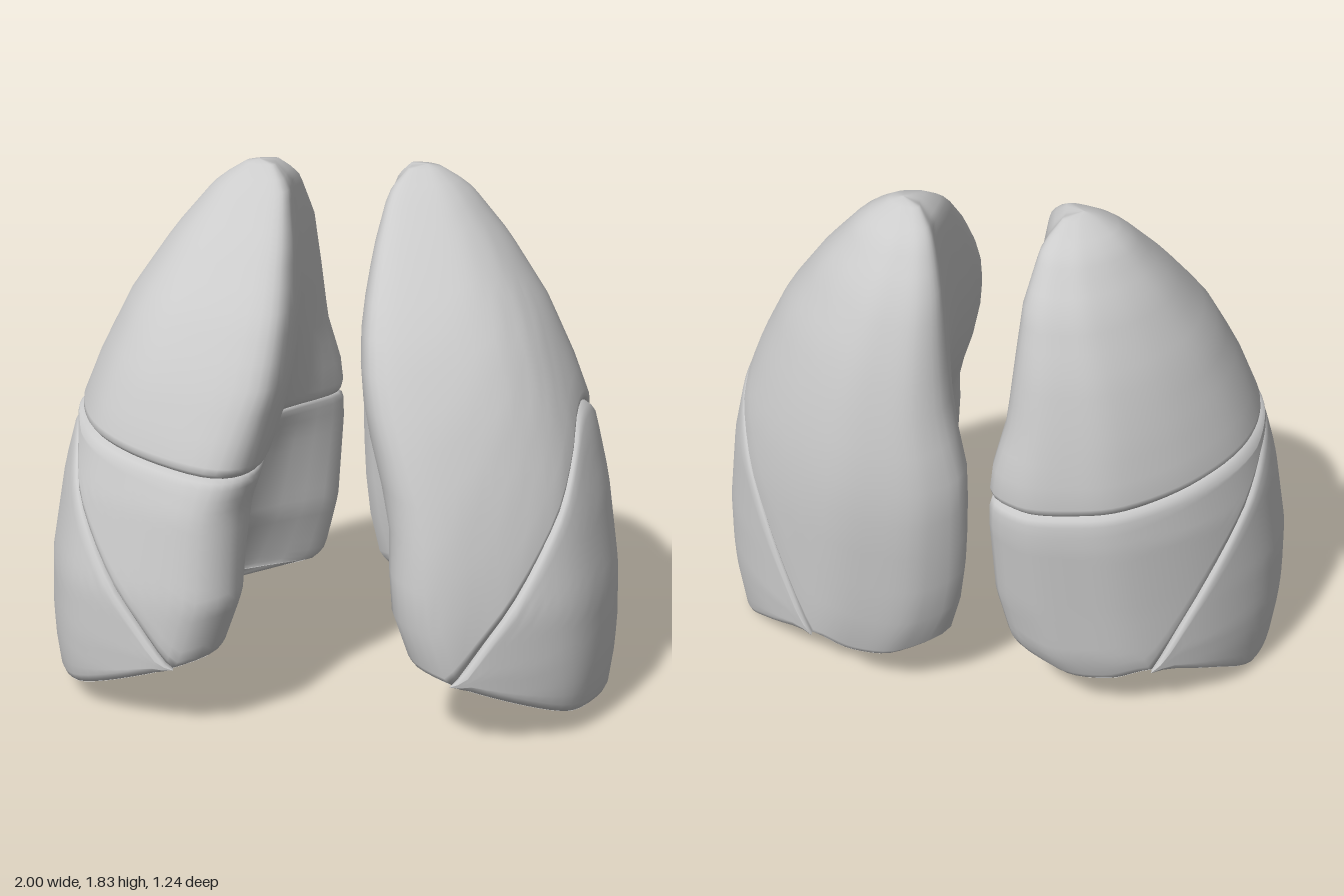
import * as THREE from 'three';

const TOP = 1.825, PTS = 14, SUB = 5, COLS = PTS * SUB;

// Height, then: back-medial x, hollow x, front-edge x, lateral x, back z, front z
const LEVELS = [
  [0.0, 0.26, 0.52, 0.42, 0.97, -0.48, 0.55],
  [0.2, 0.18, 0.49, 0.38, 0.995, -0.53, 0.59],
  [0.3, 0.11, 0.43, 0.32, 1.0, -0.56, 0.61],
  [0.5, 0.06, 0.33, 0.25, 0.995, -0.58, 0.62],
  [0.8, 0.04, 0.25, 0.24, 0.95, -0.61, 0.57],
  [1.0, 0.04, 0.17, 0.18, 0.90, -0.61, 0.51],
  [1.2, 0.09, 0.13, 0.13, 0.82, -0.58, 0.43],
  [1.4, 0.11, 0.12, 0.12, 0.72, -0.54, 0.31],
  [1.6, 0.13, 0.14, 0.14, 0.58, -0.47, 0.13],
  [1.75, 0.17, 0.17, 0.17, 0.45, -0.37, -0.03],
  [TOP, 0.22, 0.22, 0.22, 0.35, -0.27, -0.13],
];

// Around the lung from the inner back: height of the lower rim and of the slanting fissure
const BASE = [0.27, 0.19, 0.18, 0.22, 0.13, 0.01, 0.03, 0.06, 0.09, 0.17, 0.26, 0.30, 0.32, 0.30];
const FISSURE = [0.27, 0.19, 0.18, 0.22, 0.60, 0.92, 1.06, 1.05, 0.80, 0.49, 0.26, 0.30, 0.32, 0.30];
const around = new THREE.CatmullRomCurve3(
  BASE.map((b, i) => new THREE.Vector3(b, FISSURE[i], 0)), true, 'catmullrom');

function levelAt(y) {
  let i = 0;
  while (i < LEVELS.length - 2 && y > LEVELS[i + 1][0]) i++;
  const a = LEVELS[i], b = LEVELS[i + 1];
  const t = THREE.MathUtils.clamp((y - a[0]) / (b[0] - a[0]), 0, 1);
  return a.map((v, k) => v + (b[k] - v) * t);
}

// Point on the kidney-shaped cross-section, moved inwards by inset
function surface(col, y, inset) {
  const [, xm, xh, xf, xl, zb, zf] = levelAt(y);
  const w = xl - xm, d = zf - zb;
  const P = (x, k) => new THREE.Vector3(x, y, zb + k * d);
  const curve = new THREE.CatmullRomCurve3([
    P(xm, 0.12), P(xm + 0.12 * w, 0.01), P(xm + 0.32 * w, 0), P(xm + 0.52 * w, 0.03),
    P(xm + 0.76 * w, 0.15), P(xm + 0.94 * w, 0.32), P(xl, 0.5), P(xm + 0.96 * w, 0.68),
    P(xm + 0.84 * w, 0.84), P(xm + 0.61 * w, 0.95), P(xf + 0.14 * w, 1), P(xf, 0.89),
    P(xh, 0.65), P(xh + 0.03 * w, 0.38),
  ], true, 'catmullrom');
  const p = curve.getPoint((col % COLS) / COLS);
  const toCentre = new THREE.Vector3((xm + xl) / 2 + 0.05 * w, y, (zb + zf) / 2).sub(p);
  return p.addScaledVector(toCentre, Math.min(1, inset / toCentre.length()));
}

// Skin rows of points into a smooth mesh; side mirrors it across x = 0
function skin(name, rows, closed, side) {
  const n = rows[0].length, pos = [], idx = [];
  rows.forEach(r => r.forEach(p => pos.push(p.x * side, p.y, p.z)));
  for (let j = 0; j < rows.length - 1; j++) {
    for (let i = 0; i < (closed ? n : n - 1); i++) {
      const k = (i + 1) % n;
      const a = j * n + i, b = j * n + k, c = a + n, d = b + n;
      if (side > 0) idx.push(a, c, b, b, c, d);
      else idx.push(a, b, c, b, d, c);
    }
  }
  const g = new THREE.BufferGeometry();
  g.setAttribute('position', new THREE.Float32BufferAttribute(pos, 3));
  g.setIndex(idx);
  g.computeVertexNormals();
  const mesh = new THREE.Mesh(g, new THREE.MeshStandardMaterial({
    color: 0xcccccc, roughness: 0.8, side: THREE.DoubleSide }));
  mesh.name = name;
  return mesh;
}

// A lobe between two height curves, its edges rolled into the fissures
function lobe(name, lo, hi, side, first = 0, last = COLS - 1) {
  const edge = [[0, 0.05], [0, 0.022], [0.4, 0.007], [1, 0]];
  const rowDefs = edge.map(([k, inset]) => [(a, b, e) => a + k * e, inset]);
  const steps = 16;
  for (let s = 1; s < steps; s++) {
    const t = hi ? s / steps : Math.sin(s / steps * Math.PI / 2);
    rowDefs.push([(a, b, e) => a + e + (b - a - 2 * e) * t, 0]);
  }
  if (hi) edge.reverse().forEach(([k, inset]) => rowDefs.push([(a, b, e) => b - k * e, inset]));
  else rowDefs.push([() => TOP, 0.012], [() => TOP + 0.008, 9]); // closed apex
  const rows = rowDefs.map(([f, inset]) => {
    const row = [];
    for (let c = first; c <= last; c++) {
      const a = lo(c), b = Math.max(a, hi ? hi(c) : TOP);
      const e = Math.min(0.035, (b - a) / 3);
      const y = f(a, b, e);
      const p = surface(c, Math.min(y, TOP), inset);
      p.y = y;
      row.push(p);
    }
    return row;
  });
  return skin(name, rows, last - first === COLS - 1, side);
}

const base = c => around.getPoint((c % COLS) / COLS).x;
const fissure = c => {
  const p = around.getPoint((c % COLS) / COLS);
  return Math.max(p.x, p.y);
};
// Level fissure, a little higher towards the outer side
const levelFissure = c => {
  const p = surface(c, 0.95, 0);
  return 0.91 + 0.12 * p.x * p.x;
};
// The right slanting fissure stays just below the level one
const lowFissure = c => base(c) + (fissure(c) - base(c)) * 0.9;

// Shallow hollow underside
function underside(side) {
  const rows = [], centre = new THREE.Vector3(0.68, 0.25, 0);
  for (let j = 0; j <= 10; j++) {
    const k = 1 - j / 10, row = [];
    for (let c = 0; c < COLS; c++) {
      const p = surface(c, base(c), 0.02), y = p.y;
      p.lerp(centre, k);
      p.y = y + (centre.y - y) * Math.sin(k * Math.PI / 2);
      row.push(p);
    }
    rows.push(row);
  }
  return skin('underside', rows, true, side);
}

export function createModel() {
  const model = new THREE.Group();
  model.name = 'lungs';
  const wedge = [3 * SUB, 10 * SUB]; // columns spanned by the lower lobe

  const left = new THREE.Group();
  left.name = 'leftLung';
  left.add(
    lobe('leftUpperLobe', fissure, null, 1),
    lobe('leftLowerLobe', base, fissure, 1, ...wedge),
    underside(1));

  const right = new THREE.Group();
  right.name = 'rightLung';
  right.add(
    lobe('rightUpperLobe', levelFissure, null, -1),
    lobe('rightMiddleLobe', lowFissure, levelFissure, -1),
    lobe('rightLowerLobe', base, lowFissure, -1, ...wedge),
    underside(-1));

  model.add(left, right);
  return model;
}
